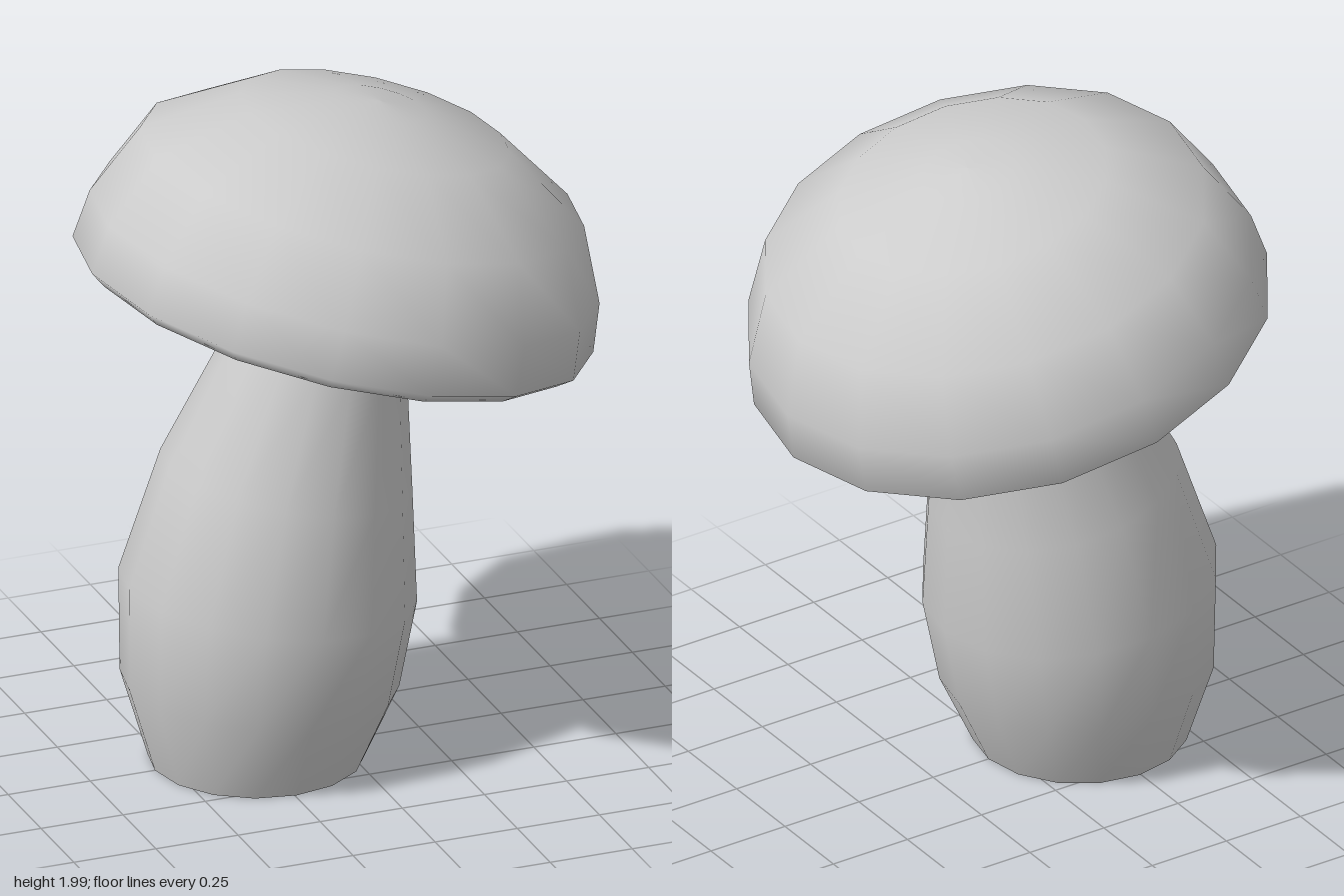
import * as THREE from 'three';
import { mergeVertices } from 'three/addons/utils/BufferGeometryUtils.js';

const SIDES = 16;
const CAP_TILT = -0.248;

// Open tube through tilted rings, listed from top to bottom
function bentTube(rings) {
  const geometry = new THREE.CylinderGeometry(1, 1, 1, SIDES, rings.length - 1, true);
  geometry.deleteAttribute('uv');
  geometry.deleteAttribute('normal');
  const position = geometry.attributes.position;
  const point = new THREE.Vector3();
  const axis = new THREE.Vector3(0, 0, 1);
  for (let i = 0; i < position.count; i++) {
    const { x, y, r, tilt } = rings[Math.floor(i / (SIDES + 1))];
    point.fromBufferAttribute(position, i);
    point.set(point.x * r, 0, point.z * r).applyAxisAngle(axis, tilt);
    position.setXYZ(i, point.x + x, point.y + y, point.z);
  }
  const welded = mergeVertices(geometry, 1e-4);
  welded.computeVertexNormals();
  return welded;
}

export function createModel() {
  const group = new THREE.Group();
  group.name = 'mushroom';
  const material = new THREE.MeshStandardMaterial({ color: 0xcccccc, side: THREE.DoubleSide });

  // Bulging stem, open at the foot, bending towards the cap
  const stem = new THREE.Mesh(bentTube([
    { x: -0.015, y: 1.385, r: 0.25, tilt: CAP_TILT },
    { x: -0.06, y: 1.23, r: 0.26, tilt: -0.24 },
    { x: -0.153, y: 0.865, r: 0.362, tilt: -0.19 },
    { x: -0.21, y: 0.52, r: 0.425, tilt: -0.125 },
    { x: -0.235, y: 0.235, r: 0.396, tilt: -0.063 },
    { x: -0.245, y: 0, r: 0.308, tilt: 0 },
  ]), material);
  stem.name = 'stem';
  group.add(stem);

  // Tilted cap: shallow underside, narrow rim, then the dome
  const profile = [
    [0.25, 0.035], [0.71, 0], [0.756, 0.035], [0.74, 0.18],
    [0.645, 0.395], [0.392, 0.561], [0.137, 0.619], [0, 0.628],
  ].map(([r, y]) => new THREE.Vector2(r, y));
  const cap = new THREE.Mesh(new THREE.LatheGeometry(profile, SIDES), material);
  cap.name = 'cap';
  cap.position.set(-0.02, 1.353, 0);
  cap.rotation.z = CAP_TILT;
  group.add(cap);

  return group;
}
